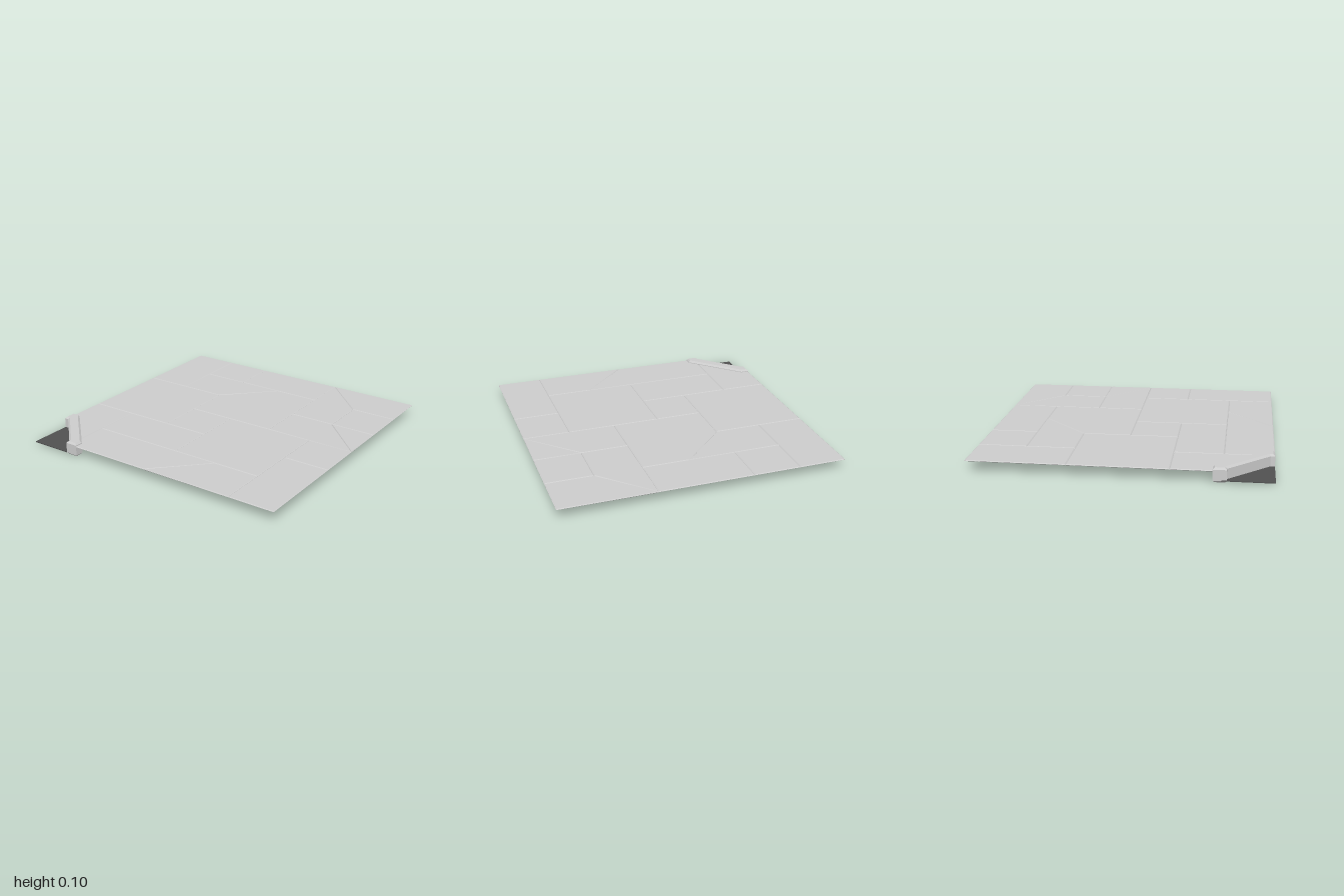
import * as THREE from 'three';

const stone = new THREE.MeshStandardMaterial({ color: 0xcccccc });
const dark = new THREE.MeshStandardMaterial({ color: 0x505050 });

// Flat slab with chamfered edges; the outline is given in [x, z]
function slab(name, outline, yBottom, yTop, bevelSize, bevelHeight, material) {
  const shape = new THREE.Shape(outline.map(([x, z]) => new THREE.Vector2(x, z)));
  const geometry = new THREE.ExtrudeGeometry(shape, {
    depth: yTop - yBottom - 2 * bevelHeight,
    bevelEnabled: bevelSize > 0,
    bevelSize,
    bevelOffset: -bevelSize,
    bevelThickness: bevelHeight,
    bevelSegments: 1,
  });
  geometry.rotateX(Math.PI / 2);
  geometry.translate(0, yTop - bevelHeight, 0);
  const mesh = new THREE.Mesh(geometry, material);
  mesh.name = name;
  return mesh;
}

const rect = (x0, z0, x1, z1) => [[x0, z0], [x1, z0], [x1, z1], [x0, z1]];

// Paving layout on a 6 x 6 grid, columns along x and rows along z
const layout = [
  rect(0, 0, 1, 2),
  rect(1, 0, 2, 1),
  rect(2, 0, 4, 1),
  [[1, 1], [3, 1], [2, 2], [1, 2]],
  [[3, 1], [4, 1], [4, 3], [2, 3], [2, 2]],
  [[4, 0], [6, 0], [6, 1], [5, 1]],
  [[4, 0], [5, 1], [5, 2], [4, 2]],
  rect(5, 1, 6, 2),
  [[4, 2], [5, 2], [6, 3], [4, 3]],
  [[5, 2], [6, 2], [6, 3]],
  rect(0, 2, 2, 4),
  rect(2, 3, 3, 4),
  rect(3, 3, 5, 5),
  rect(5, 3, 6, 4),
  rect(5, 4, 6, 6),
  rect(1, 4, 3, 5),
  [[4, 5], [5, 5], [5, 6], [3, 6]],
  // the two slabs cut off beneath the kerb
  [[0, 4], [1, 4], [1, 5.94], [0, 4.94]],
  [[1, 5], [4, 5], [3, 6], [1.06, 6], [1, 5.94]],
];

export function createModel() {
  const model = new THREE.Group();
  model.name = 'pavedGround';

  // Paving slabs, chamfered so that the joints read as grooves
  const paving = new THREE.Group();
  paving.name = 'paving';
  layout.forEach((cells, i) => {
    const outline = cells.map(([x, z]) => [x / 3 - 1, z / 3 - 1]);
    paving.add(slab(`pavingSlab${i + 1}`, outline, 0.073, 0.082, 0.006, 0.004, stone));
  });
  model.add(paving);

  // Kerb across the corner, with short straight ends
  const kerb = [
    [-1, 0.605], [-0.94, 0.605], [-0.605, 0.94], [-0.605, 1],
    [-0.695, 1], [-0.695, 0.97], [-0.97, 0.695], [-1, 0.695],
  ];
  model.add(slab('kerb', kerb, 0, 0.1, 0.013, 0.013, stone));

  // Sunken dark ground in the corner
  const corner = [[-1, 0.66], [-0.66, 1], [-1, 1]];
  model.add(slab('sunkenCorner', corner, 0.012, 0.018, 0, 0, dark));

  return model;
}
